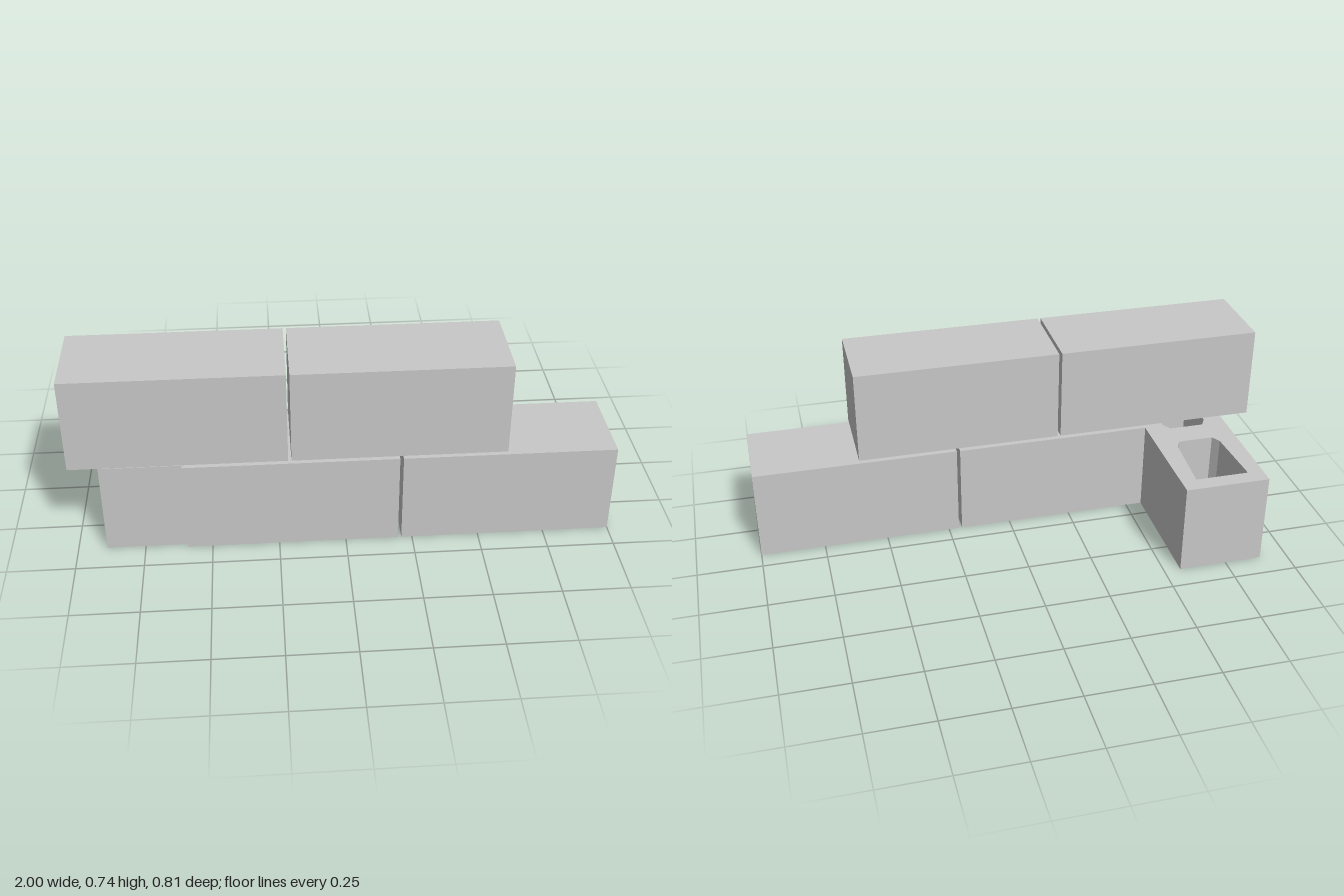
import * as THREE from 'three';

const LENGTH = 0.79, HEIGHT = 0.362, DEPTH = 0.329;

export function createModel() {
  const group = new THREE.Group();
  const concrete = new THREE.MeshStandardMaterial({ color: 0xc8c8c8 });
  concrete.name = 'concreteGrey';

  const add = (name, geometry, x, y, z) => {
    const mesh = new THREE.Mesh(geometry, concrete);
    mesh.name = name;
    mesh.position.set(x, y, z);
    group.add(mesh);
  };

  // Two staggered courses of solid blocks
  const solid = new THREE.BoxGeometry(LENGTH, HEIGHT, DEPTH);
  const courses = [
    { name: 'lowerBlock', y: 0, starts: [-0.593, 0.21] },
    { name: 'upperBlock', y: 0.375, starts: [-1, -0.198] },
  ];
  for (const { name, y, starts } of courses) {
    starts.forEach((x, i) =>
      add(name + (i + 1), solid, x + LENGTH / 2, y + HEIGHT / 2, 0.403 - DEPTH / 2));
  }

  // Hollow corner block, turned to run front to back, with two mirrored cores
  const w = DEPTH / 2, l = LENGTH / 2;
  const outline = new THREE.Shape([
    [-w, -l], [w, -l], [w, l], [-w, l],
  ].map(([x, y]) => new THREE.Vector2(x, y)));
  const core = [
    [-0.068, 0.053], [0.068, 0.053], [0.088, 0.087], [0.104, 0.332],
    [-0.104, 0.332], [-0.088, 0.087],
  ];
  for (const side of [1, -1]) {
    outline.holes.push(new THREE.Path(core.map(([x, y]) => new THREE.Vector2(x, y * side))));
  }
  const hollow = new THREE.ExtrudeGeometry(outline, { depth: HEIGHT, bevelEnabled: false });
  hollow.rotateX(-Math.PI / 2);
  add('hollowCornerBlock', hollow, -0.729, 0, l - 0.403);

  return group;
}
